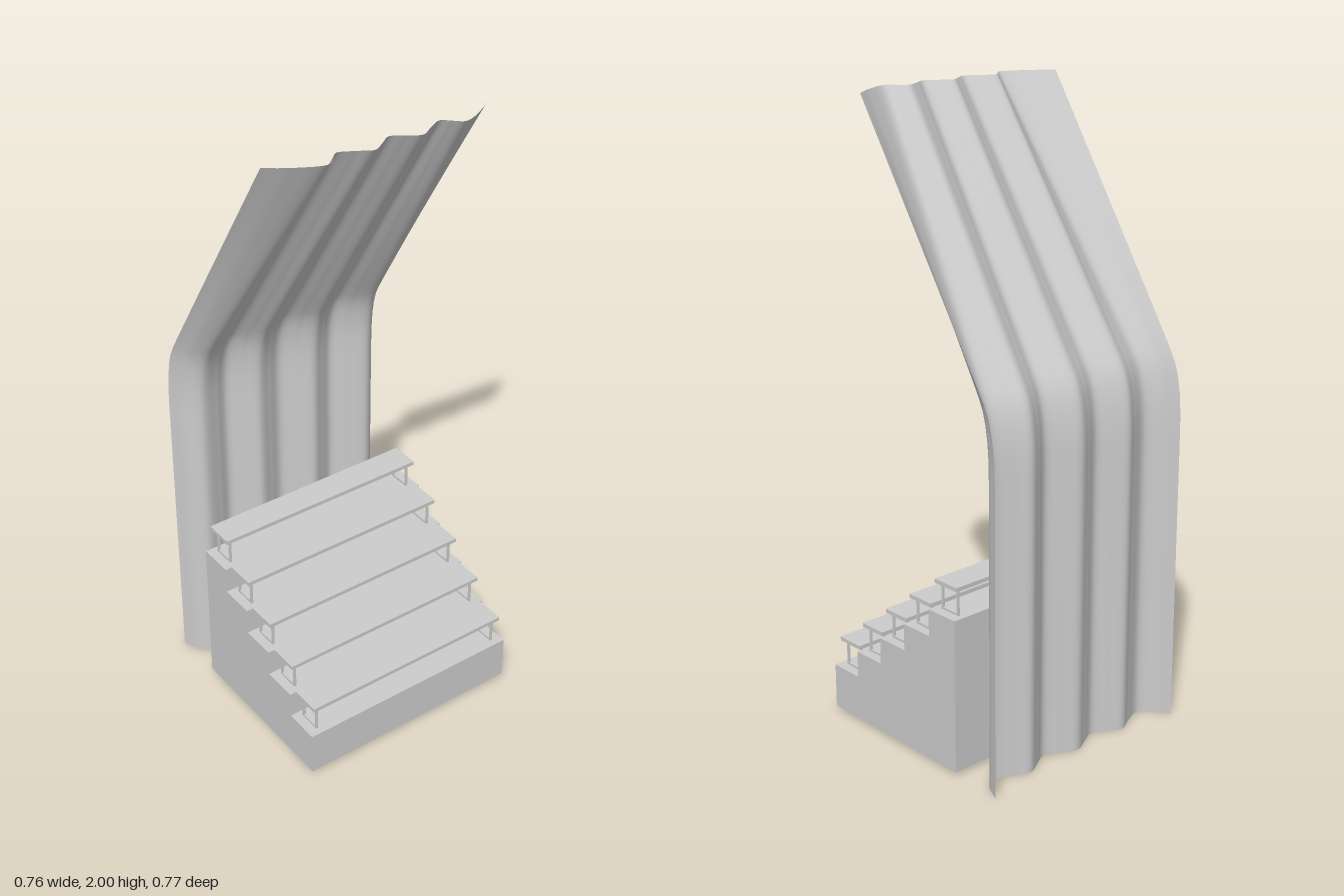
import * as THREE from 'three';

const grey = new THREE.MeshStandardMaterial({ color: 0xcccccc });
const greyThin = new THREE.MeshStandardMaterial({ color: 0xcccccc, side: THREE.DoubleSide });

function box(name, w, h, d, x, y, z) {
  const mesh = new THREE.Mesh(new THREE.BoxGeometry(w, h, d), grey);
  mesh.name = name;
  mesh.position.set(x, y, z);
  return mesh;
}

// Smooth wave through half a cross-section (x, z), mirrored to the other half
function waveCurve(half) {
  const mirrored = half.slice(0, -1).reverse().map(([x, z]) => [x, -z]);
  return new THREE.CatmullRomCurve3(
    [...half, ...mirrored].map(([x, z]) => new THREE.Vector3(x, 0, z)), false, 'centripetal');
}

// Corrugated wall that rises straight, then leans over the seats
function createCanopy() {
  const foot = waveCurve([[-0.38, 0.383], [-0.325, 0.355], [-0.295, 0.315], [-0.3175, 0.25], [-0.34, 0.2],
    [-0.3175, 0.152], [-0.295, 0.105], [-0.3175, 0.052], [-0.34, 0]]);
  const rim = waveCurve([[0.175, 0.383], [0.225, 0.31], [0.26, 0.227], [0.2375, 0.198], [0.215, 0.172],
    [0.2375, 0.122], [0.26, 0.08], [0.2375, 0.038], [0.215, 0]]);
  // Height and forward lean of each row
  const rows = [[0, 0], [0.5, 0], [0.95, 0], [1.02, 0.001], [1.08, 0.006], [1.13, 0.015], [1.17, 0.027],
    [1.205, 0.045], [1.25, 0.073], [1.3, 0.105], [1.5, 0.233], [1.75, 0.394], [2, 0.555]];
  const lean = 0.555, n = 160;
  const positions = [], index = [];
  rows.forEach(([y, shift], r) => {
    const t = shift / lean;
    for (let i = 0; i <= n; i++) {
      const a = foot.getPoint(i / n), b = rim.getPoint(i / n);
      positions.push(THREE.MathUtils.lerp(a.x, b.x, t), y, THREE.MathUtils.lerp(a.z, b.z, t));
      if (r > 0 && i < n) {
        const p = (r - 1) * (n + 1) + i, q = p + n + 1;
        index.push(p, p + 1, q, p + 1, q + 1, q);
      }
    }
  });
  const geometry = new THREE.BufferGeometry();
  geometry.setAttribute('position', new THREE.Float32BufferAttribute(positions, 3));
  geometry.setIndex(index);
  geometry.computeVertexNormals();
  const mesh = new THREE.Mesh(geometry, greyThin);
  mesh.name = 'corrugatedCanopy';
  return mesh;
}

const STEPS = 5, TREAD = 0.1165, RISE = 0.0877, BACK = -0.205, TOP = 0.51, BASE = 0.013;

// Solid stepped block
function createSteps() {
  const shape = new THREE.Shape();
  shape.moveTo(BACK, BASE);
  shape.lineTo(BACK + STEPS * TREAD, BASE);
  for (let i = STEPS - 1; i >= 0; i--) {
    shape.lineTo(BACK + (i + 1) * TREAD, TOP - i * RISE);
    shape.lineTo(BACK + i * TREAD, TOP - i * RISE);
  }
  const geometry = new THREE.ExtrudeGeometry(shape, { depth: 0.766, bevelEnabled: false });
  geometry.translate(0, 0, -0.383);
  const mesh = new THREE.Mesh(geometry, grey);
  mesh.name = 'steppedStand';
  return mesh;
}

// Bench: a long plank on two open square frames
function createBench(x, y) {
  const bench = new THREE.Group();
  bench.name = 'bench';
  bench.position.set(x, y, 0);
  bench.add(box('seat', 0.097, 0.013, 0.734, 0, 0.091, 0));
  const w = 0.074, h = 0.0845, bar = 0.007;
  for (const side of [-1, 1]) {
    const z = side * 0.348;
    for (const s of [-1, 1]) bench.add(box('leg', bar, h, bar, s * (w - bar) / 2, h / 2, z));
    bench.add(box('frameFoot', w - 2 * bar, bar, bar, 0, bar / 2, z));
    bench.add(box('frameTop', w - 2 * bar, bar, bar, 0, h - bar / 2, z));
  }
  return bench;
}

export function createModel() {
  const model = new THREE.Group();
  model.name = 'grandstand';
  model.add(createCanopy(), createSteps());
  for (let i = 0; i < STEPS; i++) {
    model.add(createBench(BACK + 0.057 + i * TREAD, TOP - i * RISE));
  }
  return model;
}
